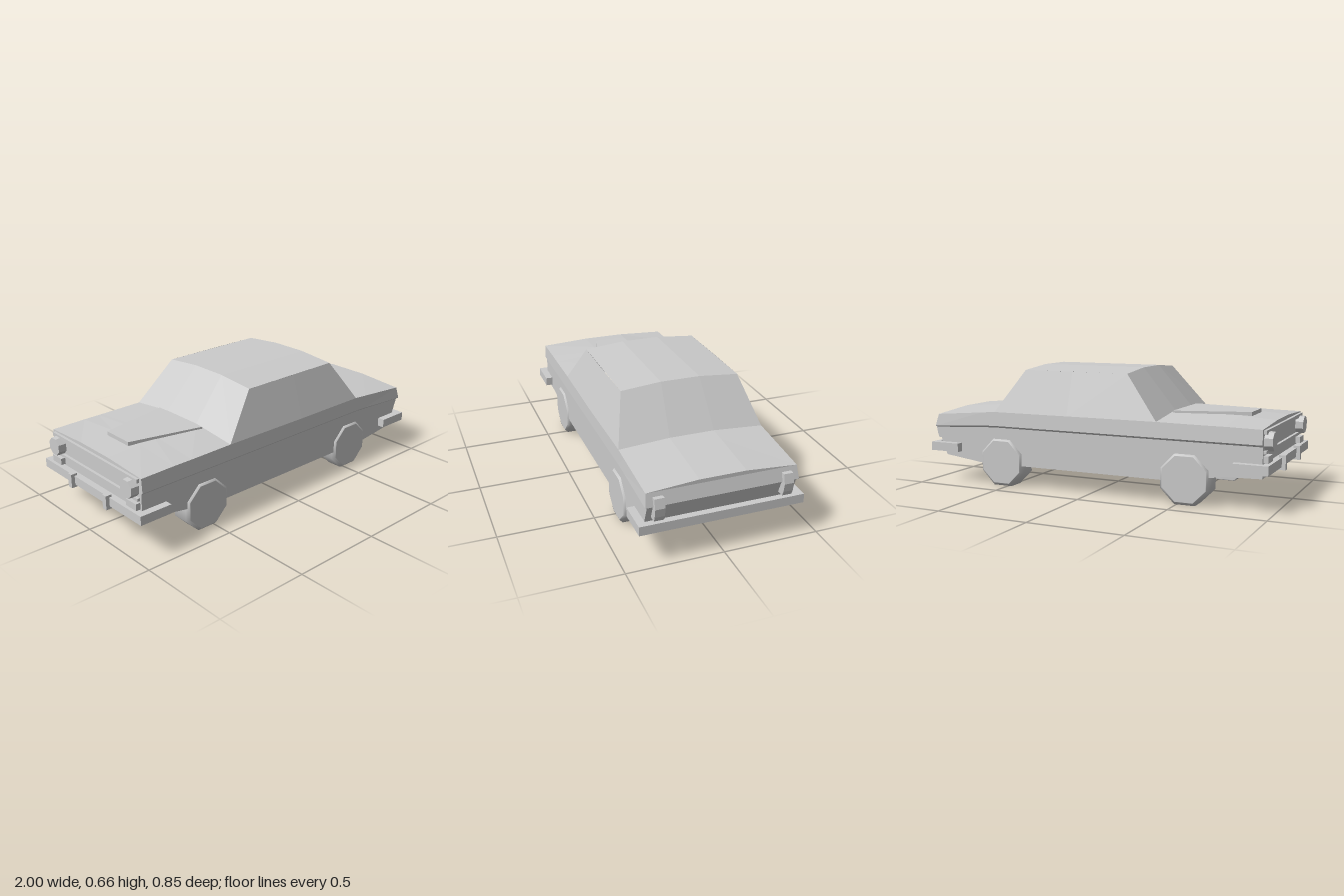
import * as THREE from 'three';

const material = new THREE.MeshStandardMaterial({ color: 0xcccccc, flatShading: true, side: THREE.DoubleSide });
const smooth = new THREE.MeshStandardMaterial({ color: 0xcccccc });

// Surface made of four-cornered panels
function panels(name, quads) {
  const pos = [];
  for (const [a, b, c, d] of quads) pos.push(...a, ...b, ...c, ...a, ...c, ...d);
  const g = new THREE.BufferGeometry();
  g.setAttribute('position', new THREE.Float32BufferAttribute(pos, 3));
  g.computeVertexNormals();
  const mesh = new THREE.Mesh(g, material);
  mesh.name = name;
  return mesh;
}

// Skin between successive cross-sections, with optional openings
function skin(rings, skip = () => false) {
  const quads = [];
  for (let i = 0; i < rings.length - 1; i++)
    for (let j = 0; j < rings[i].length - 1; j++)
      if (!skip(i, j)) quads.push([rings[i][j], rings[i + 1][j], rings[i + 1][j + 1], rings[i][j + 1]]);
  return quads;
}

const flip = ([x, y, z]) => [x, y, -z];
const mirror = (half) => [...half, ...half.map(flip).reverse()];

// Box given by its extents
function box(name, x0, x1, y0, y1, z0, z1) {
  const mesh = new THREE.Mesh(new THREE.BoxGeometry(x1 - x0, y1 - y0, z1 - z0), material);
  mesh.position.set((x0 + x1) / 2, (y0 + y1) / 2, (z0 + z1) / 2);
  mesh.name = name;
  return mesh;
}

export function createModel() {
  const car = new THREE.Group();
  car.name = 'sedan';

  // Lower body: x, sill height, belt height, shoulder height, centre height
  const stations = [
    [-0.94, 0.17, 0.325, 0.41, 0.424],
    [-0.75, 0.165, 0.325, 0.413, 0.435],
    [-0.66, 0.15, 0.325, 0.413, 0.438],
    [-0.64, 0.12, 0.325, 0.413, 0.438],
    [-0.39, 0.12, 0.325, 0.415, 0.445],
    [0.575, 0.12, 0.325, 0.412, 0.43],
    [0.66, 0.12, 0.322, 0.405, 0.424],
  ];
  const rings = stations.map(([x, sill, belt, shoulder, top]) => mirror([
    [x, sill, 0.382], [x, belt, 0.382], [x, belt + 0.01, 0.392], [x, shoulder, 0.387], [x, top, 0.12],
  ]));
  rings.push(mirror([
    [0.905, 0.15, 0.382], [0.965, 0.305, 0.382], [0.974, 0.312, 0.392], [0.955, 0.38, 0.385], [0.955, 0.4, 0.12],
  ]));
  car.add(panels('body', skin(rings, (i, j) => i === 4 && j >= 3 && j <= 5)));

  // Nose and tail panels
  const cap = (r) => [0, 1, 2, 3].map((j) => [r[j], r[9 - j], r[8 - j], r[j + 1]]);
  car.add(panels('tailPanel', cap(rings[rings.length - 1])));
  car.add(panels('nosePanel', cap(rings[0]).map((q) => q.reverse())));

  // Cabin: windscreen, roof, rear window and two sides
  const cabin = [
    [[-0.39, 0.415, 0.387], [-0.39, 0.445, 0.12]],
    [[-0.2, 0.645, 0.318], [-0.2, 0.664, 0.105]],
    [[0.41, 0.645, 0.318], [0.41, 0.664, 0.105]],
    [[0.575, 0.412, 0.387], [0.575, 0.43, 0.12]],
  ].map(mirror);
  car.add(panels('cabin', skin(cabin)));
  const [a, b, c, d] = cabin.map((r) => r[0]);
  const low = [0.12, 0.414, 0.391], high = [0.12, 0.645, 0.32];
  const side = [[a, low, high, b], [low, d, c, high]];
  car.add(panels('leftCabinSide', side));
  car.add(panels('rightCabinSide', side.map((q) => q.map(flip).reverse())));

  // Raised wedge on the bonnet
  const scoopTop = [[-0.8, 0.453, 0.09], [-0.8, 0.453, -0.09], [-0.4, 0.449, -0.18], [-0.4, 0.449, 0.18]];
  const scoopBase = scoopTop.map(([x, y, z]) => [x, y - 0.03, z]);
  const scoop = [[...scoopTop].reverse()];
  for (let i = 0; i < 4; i++) {
    const k = (i + 1) % 4;
    scoop.push([scoopTop[i], scoopTop[k], scoopBase[k], scoopBase[i]]);
  }
  car.add(panels('bonnetScoop', scoop));

  // Wheels: octagonal with a chamfered outer rim
  const tyre = new THREE.LatheGeometry(
    [[0, -0.056], [0.138, -0.056], [0.144, -0.05], [0.144, 0.04], [0.128, 0.056], [0.126, 0.056], [0, 0.056]]
      .map(([r, h]) => new THREE.Vector2(r, h)), 8, Math.PI / 8);
  for (const x of [-0.543, 0.535]) {
    for (const s of [1, -1]) {
      const wheel = new THREE.Mesh(tyre, smooth);
      wheel.rotation.x = s * Math.PI / 2;
      wheel.position.set(x, 0.134, s * 0.336);
      wheel.name = x < 0 ? 'frontWheel' : 'rearWheel';
      car.add(wheel);
    }
  }

  // Wrap-around bumpers
  for (const [name, end, inner, tip, y] of [['frontBumper', -0.98, -0.945, -0.8, 0.195], ['rearBumper', 0.98, 0.945, 0.8, 0.176]]) {
    const bumper = new THREE.Group();
    bumper.name = name;
    const span = (p, q) => [Math.min(p, q), Math.max(p, q)];
    bumper.add(box('bar', ...span(end, inner), y, y + 0.048, -0.425, 0.425));
    for (const s of [1, -1])
      bumper.add(box('wrap', ...span(inner, tip), y, y + 0.048, ...span(s * 0.385, s * 0.425)));
    car.add(bumper);
  }

  // Grille surround
  car.add(box('grilleTop', -0.955, -0.935, 0.385, 0.405, -0.37, 0.37));
  car.add(box('grilleBottom', -0.955, -0.935, 0.29, 0.305, -0.37, 0.37));

  // Paired lamps and bumper guards
  const lamp = new THREE.CylinderGeometry(0.048, 0.052, 0.045, 8).rotateY(Math.PI / 8).rotateZ(Math.PI / 2);
  for (const s of [1, -1]) {
    const headlight = new THREE.Mesh(lamp, material);
    headlight.position.set(-0.96, 0.347, s * 0.318);
    headlight.name = 'headlight';
    car.add(headlight);

    const z = s * 0.155;
    car.add(box('bumperGuard', -1, -0.965, 0.18, 0.255, z - 0.015, z + 0.015));
    const t = s * 0.33;
    car.add(box('turnSignal', -0.965, -0.935, 0.245, 0.28, t - 0.04, t + 0.04));

    // Tail lamp with a pointed rear profile
    const profile = [[0.94, 0.24], [0.98, 0.24], [0.99, 0.265], [0.998, 0.31], [0.984, 0.358], [0.945, 0.358]];
    const shape = new THREE.Shape(profile.map(([x, y]) => new THREE.Vector2(x, y)));
    const tail = new THREE.Mesh(new THREE.ExtrudeGeometry(shape, { depth: 0.05, bevelEnabled: false }), material);
    tail.position.z = s * 0.328 - 0.025;
    tail.name = 'tailLight';
    car.add(tail);
  }
  return car;
}
